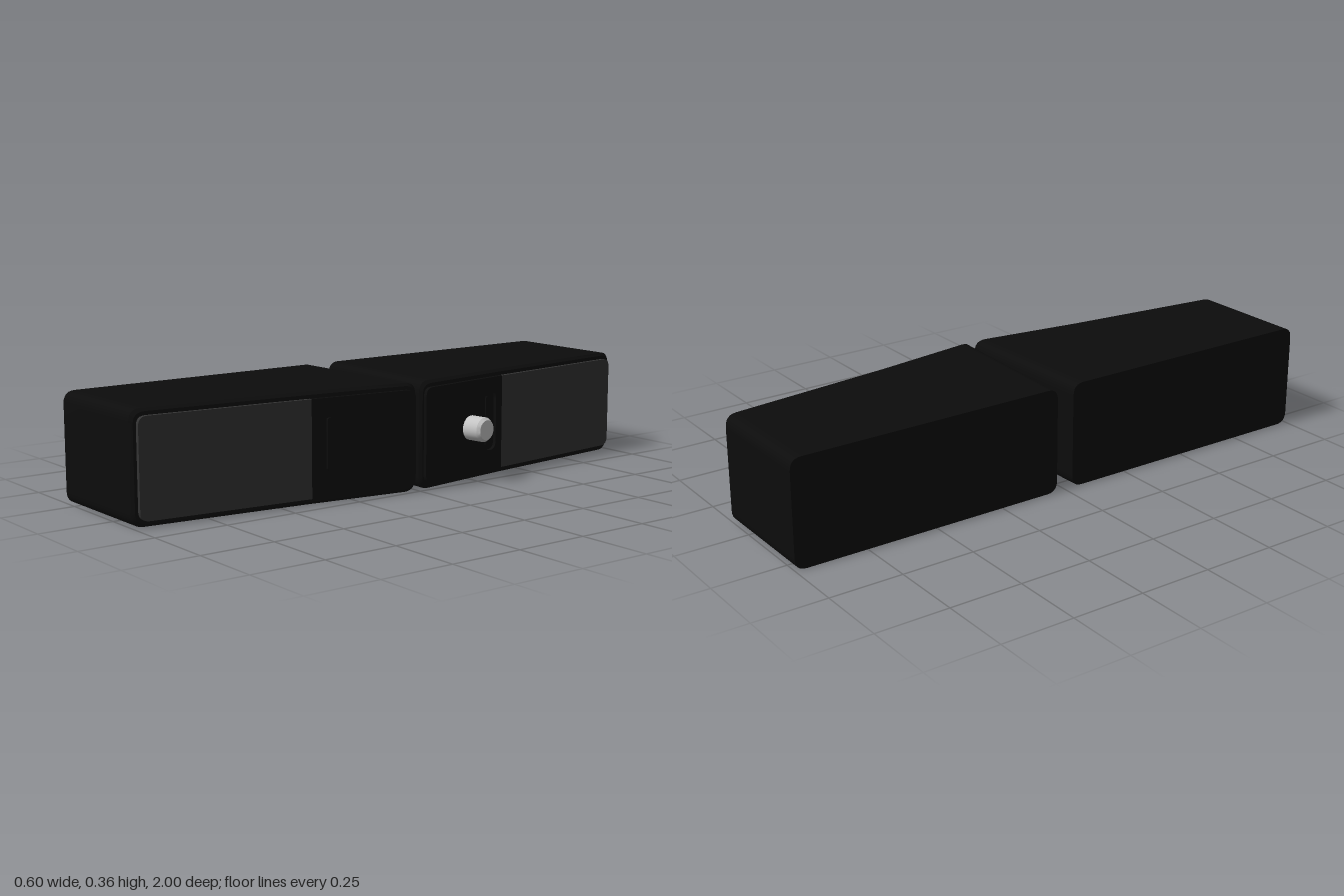
import * as THREE from 'three';
import { toCreasedNormals } from 'three/addons/utils/BufferGeometryUtils.js';

const BACK = -0.3, HEIGHT = 0.362, MID = HEIGHT / 2, KINK = 0.4;

// Height (x) of the front surface at distance u from the gap between the units
const front = (u) => 0.2 + (KINK - u) * (u > KINK ? 0.109 : 0.139);

// Outline from u0 to u1 with corner radius r0 at the u0 end and r1 at the u1 end
function outline(Type, side, u0, u1, y0, y1, r0, r1) {
  const p = new Type(), k = -side;
  const corner = (u, y, du, dy, r) => {
    if (r) p.quadraticCurveTo(k * u, y, k * (u + du * r), y + dy * r);
    else p.lineTo(k * u, y);
  };
  p.moveTo(k * (u0 + r0), y0);
  p.lineTo(k * (u1 - r1), y0);
  corner(u1, y0, 0, 1, r1);
  p.lineTo(k * u1, y1 - r1);
  corner(u1, y1, -1, 0, r1);
  p.lineTo(k * (u0 + r0), y1);
  corner(u0, y1, 0, -1, r0);
  p.lineTo(k * u0, y0 + r0);
  corner(u0, y0, 1, 0, r0);
  return p;
}

// Extrudes an outline, then places each vertex by rule(u, y, t) -> [x, y, u]
function shell(shape, side, steps, rule) {
  const geo = new THREE.ExtrudeGeometry(shape, { depth: 1, steps, bevelEnabled: false, curveSegments: 6 });
  const pos = geo.attributes.position;
  for (let i = 0; i < pos.count; i++) {
    const [x, y, u] = rule(-side * pos.getX(i), pos.getY(i), pos.getZ(i));
    pos.setXYZ(i, x, y, side * u);
  }
  return toCreasedNormals(geo, 0.6);
}

// Body: square back, wedge-shaped inner end, chamfered front rim
const bodyRule = (u, y, t) => {
  if (t < 0.25) return [BACK, y, u + 0.024 * Math.max(0, 1 - u / KINK)];
  if (t < 0.75) return [front(u) - 0.024, y, u];
  const v = 0.5 + (u - 0.5) * 0.984;
  return [front(v) - 0.013, MID + (y - MID) * 0.95, v];
};

// Panel between two offsets from the sloping front surface
const panelRule = (low, high) => (u, y, t) => [front(u) + low + (high - low) * t, y, u];

export function createModel() {
  const mat = (name, color) => {
    const m = new THREE.MeshStandardMaterial({ color });
    m.name = name;
    return m;
  };
  const black = mat('black', 0x0c0c0c);
  const grey = mat('dark grey', 0x333333);
  const silver = mat('silver', 0xc4c4c4);

  const model = new THREE.Group();
  model.name = 'twinUnits';
  const add = (parent, name, geo, material) => {
    const mesh = new THREE.Mesh(geo, material);
    mesh.name = name;
    parent.add(mesh);
    return mesh;
  };

  for (const side of [1, -1]) {
    const unit = new THREE.Group();
    unit.name = side > 0 ? 'frontUnit' : 'backUnit';
    model.add(unit);
    const gap = 0.008;
    const shape = (...a) => outline(THREE.Shape, side, ...a);

    // Casing in two pieces that meet at the bend
    add(unit, 'innerBody', shell(shape(gap, KINK, 0, HEIGHT, 0.04, 0), side, 2, bodyRule), black);
    add(unit, 'outerBody', shell(shape(KINK, 1, 0, HEIGHT, 0, 0.04), side, 2, bodyRule), black);

    // Black face panel with the handle slot cut out
    const face = shape(0.022, KINK, 0.021, 0.341, 0.03, 0);
    face.holes.push(outline(THREE.Path, side, 0.312, 0.37, 0.09, 0.292, 0.028, 0.028));
    add(unit, 'facePanel', shell(face, side, 1, panelRule(-0.02, 0)), black);

    // Slim latch inside the slot
    add(unit, 'slotLatch', shell(shape(0.322, 0.34, 0.105, 0.275, 0.008, 0.008), side, 1,
      panelRule(-0.02, -0.005)), black);

    // Grey outer panel
    add(unit, 'greyPanel', shell(shape(KINK, 0.982, 0.021, 0.341, 0, 0.03), side, 1,
      panelRule(-0.02, 0)), grey);
  }

  // Knob standing square to the back unit's face, with a chamfered tip
  const profile = [[0, -0.02], [0.042, -0.02], [0.042, 0.056], [0.034, 0.067], [0, 0.067]]
    .map(([r, y]) => new THREE.Vector2(r, y));
  const knob = add(model, 'knob', toCreasedNormals(new THREE.LatheGeometry(profile, 24), 0.5), silver);
  knob.position.set(front(0.243) + 0.003, MID, -0.243);
  knob.quaternion.setFromUnitVectors(new THREE.Vector3(0, 1, 0), new THREE.Vector3(1, 0, -0.139).normalize());

  return model;
}
